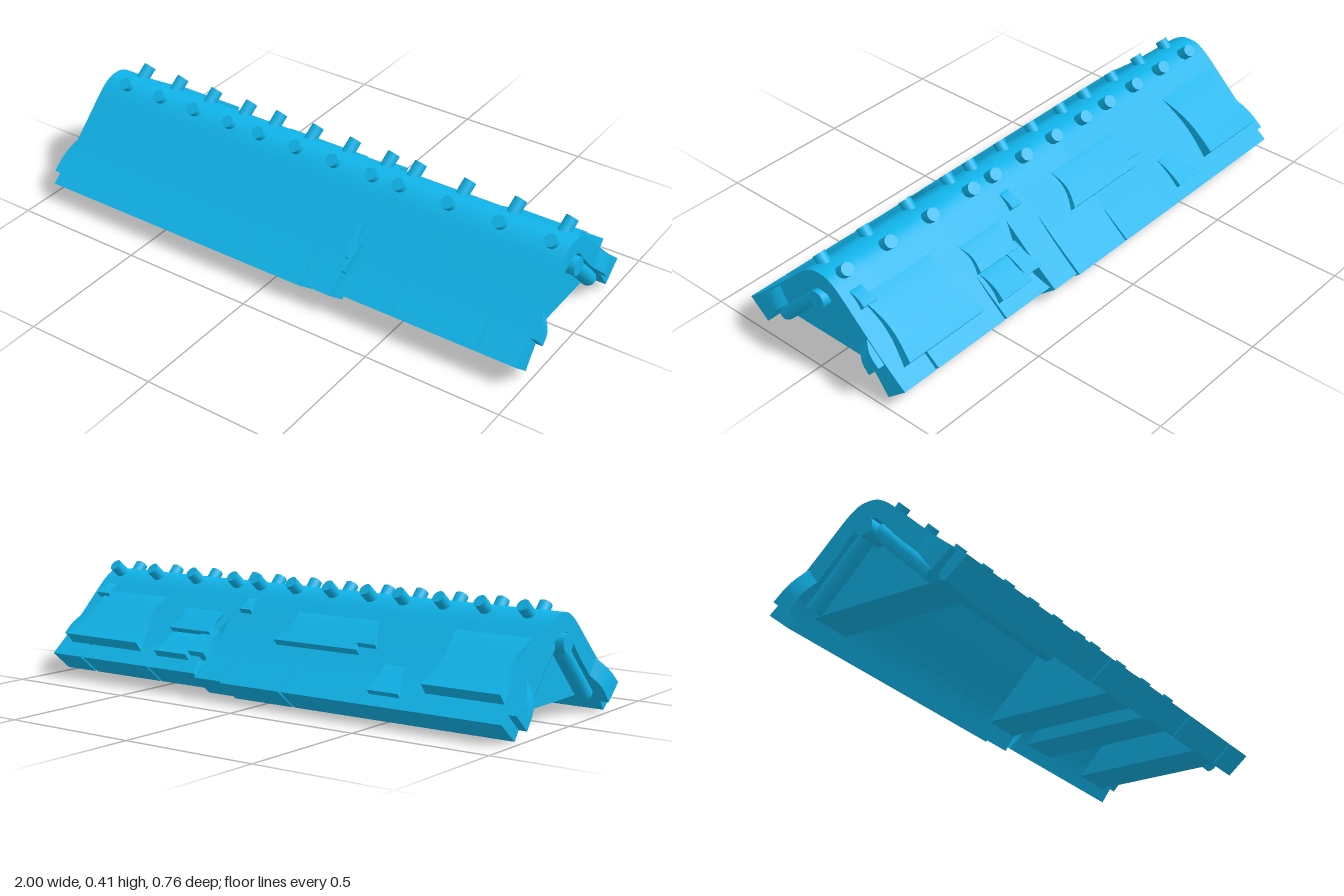
import * as THREE from 'three';
import { toCreasedNormals } from 'three/addons/utils/BufferGeometryUtils.js';

const material = new THREE.MeshStandardMaterial({ color: 0x10b4ea, side: THREE.DoubleSide });

// Half profile of the thatch, ridge to eave, as (z, y)
const curve = (pts) => new THREE.SplineCurve(pts.map(([z, y]) => new THREE.Vector2(z, y)));
const outer = curve([[0, 0.37], [0.03, 0.367], [0.06, 0.352], [0.1, 0.32], [0.2, 0.225], [0.28, 0.152], [0.38, 0.07]]);
const inner = curve([[0, 0.305], [0.03, 0.302], [0.05, 0.283], [0.12, 0.205], [0.22, 0.105], [0.297, 0.003]]);
const uAt = (z) => Math.min(1, Math.max(0, (z + 0.018) / 0.4));
const lerp = THREE.MathUtils.lerp;

// Slab lofted down one slope; rows hold left x, right x, outer and inner (z, y); side -1 is the back
function slab(rows, side) {
  const pos = [], idx = [];
  for (const { l, r, out, inn } of rows) {
    for (const [x, p] of [[l, out], [r, out], [r, inn], [l, inn]]) pos.push(x, p.y, p.x * side);
  }
  const quad = (a, b, c, d) => (side > 0 ? idx.push(a, b, c, a, c, d) : idx.push(a, c, b, a, d, c));
  for (let i = 0; i < rows.length - 1; i++) {
    for (let k = 0; k < 4; k++) {
      const n = (k + 1) % 4;
      quad(i * 4 + k, i * 4 + 4 + k, i * 4 + 4 + n, i * 4 + n);
    }
  }
  const e = rows.length * 4 - 4;
  quad(0, 1, 2, 3);
  quad(e + 3, e + 2, e + 1, e);
  const g = new THREE.BufferGeometry();
  g.setAttribute('position', new THREE.Float32BufferAttribute(pos, 3));
  g.setIndex(idx);
  return toCreasedNormals(g.toNonIndexed(), 0.6);
}

export function createModel() {
  const model = new THREE.Group();
  const add = (name, geometry) => {
    const m = new THREE.Mesh(geometry, material);
    m.name = name;
    model.add(m);
    return m;
  };
  const rod = (name, a, b, radius) => {
    const dir = b.clone().sub(a);
    const m = add(name, new THREE.CylinderGeometry(radius, radius, dir.length(), 20));
    m.position.copy(a).add(b).multiplyScalar(0.5);
    m.quaternion.setFromUnitVectors(new THREE.Vector3(0, 1, 0), dir.normalize());
  };
  const V = (x, y, z) => new THREE.Vector3(x, y, z);

  // Main thatch: strips parted by slits that open toward the eave [x, slit start, half width]
  const seams = [[-0.97, 1, 0], [-0.112, 0.72, 0.004], [0.15, 0.5, 0.005], [0.275, 0.42, 0.006],
    [0.502, 0.62, 0.005], [0.828, 0.5, 0.006], [0.975, 1, 0]];
  const slit = ([, start, w], u) => (u <= start ? 0 : w * Math.sqrt((u - start) / (1 - start)));
  for (const side of [1, -1]) {
    for (let s = 0; s < seams.length - 1; s++) {
      const a = seams[s], b = seams[s + 1], rows = [];
      const end = a[0] > 0.27 ? 0.95 : a[0] > 0.1 ? 0.985 : 1;
      for (let i = 0; i <= 24; i++) {
        const u = (i / 24) * end;
        const t = Math.max(0, (u - 0.42) / 0.53);
        const torn = s === 3 ? 0.03 * Math.sin(Math.PI * Math.min(1, t)) : 0;
        rows.push({ l: a[0] + slit(a, u) + torn, r: b[0] - slit(b, u), out: outer.getPointAt(u), inn: inner.getPointAt(u) });
      }
      add('thatchStrip', slab(rows, side));
    }

    // Flared under-layers peeking out at both gable ends
    for (const [end, z0, z1, tip, base] of [[-1, 0.13, 0.345, 1, 0.93], [1, 0.13, 0.275, 1, 0.94]]) {
      const rows = [];
      for (let i = 0; i <= 10; i++) {
        const t = i / 10, u = uAt(lerp(z0, z1, t));
        const x = end * lerp(base, tip, THREE.MathUtils.smoothstep(t, 0, 0.8));
        const out = outer.getPointAt(u).add(new THREE.Vector2(-0.004, -0.004));
        rows.push({ l: Math.min(x, end * 0.88), r: Math.max(x, end * 0.88), out, inn: inner.getPointAt(u) });
      }
      add('endThatch', slab(rows, side));
    }
  }

  // Overlapping tufts: [side, top left, top right, bottom left, bottom right, top z, bottom z, lift]
  const tufts = [
    [-1, -0.93, -0.64, -0.945, -0.655, 0.1, 0.318, 0.045],
    [-1, -0.53, -0.45, -0.575, -0.455, 0.24, 0.345, 0.02],
    [-1, -0.3, 0.0, -0.335, 0.015, 0.1, 0.222, 0.026],
    [-1, -0.34, -0.28, -0.39, -0.3, 0.1, 0.195, 0.02],
    [-1, 0.2, 0.24, 0.19, 0.24, 0.07, 0.127, 0.022],
    [-1, 0.3, 0.5, 0.31, 0.495, 0.13, 0.222, 0.022],
    [-1, 0.29, 0.36, 0.275, 0.35, 0.2, 0.3, 0.025],
    [-1, 0.35, 0.49, 0.34, 0.49, 0.22, 0.318, 0.03],
    [-1, 0.61, 0.92, 0.575, 0.925, 0.1, 0.31, 0.045],
    [-1, 0.89, 0.94, 0.88, 0.94, 0.07, 0.127, 0.025],
    [1, 0.25, 0.262, 0.262, 0.285, 0.15, 0.26, 0.012],
    [1, 0.292, 0.305, 0.27, 0.283, 0.16, 0.3, 0.012],
  ];
  for (const [side, tl, tr, bl, br, z0, z1, lift] of tufts) {
    const rows = [];
    for (let i = 0; i <= 8; i++) {
      const t = i / 8, p = outer.getPointAt(uAt(lerp(z0, z1, t)));
      const pinch = (tr - tl) * 0.07 * Math.sin(Math.PI * t);
      const h = lift * Math.pow(t, 0.8);
      rows.push({
        l: lerp(tl, bl, t) + pinch, r: lerp(tr, br, t) - pinch,
        out: p.clone().add(new THREE.Vector2(0.6 * h, 0.8 * h)),
        inn: p.clone().add(new THREE.Vector2(-0.012, -0.014)),
      });
    }
    add('thatchTuft', slab(rows, side));
  }

  // Ridge pole and end rafters
  rod('ridgePole', V(-0.99, 0.272, 0), V(0.995, 0.272, 0), 0.033);
  for (const x of [-0.93, 0.93]) {
    for (const s of [1, -1]) rod('rafter', V(x, 0.27, 0.025 * s), V(x, 0.062, 0.232 * s), 0.029);
  }

  // Triangular trusses under the roof
  const tri = new THREE.Shape([[-0.255, 0.057], [0.255, 0.057], [0.02, 0.295], [-0.02, 0.295]].map(([x, y]) => new THREE.Vector2(x, y)));
  for (const [x0, x1] of [[0.75, 0.92], [0.36, 0.52], [0.1, 0.26], [-0.9, -0.74]]) {
    const truss = add('truss', new THREE.ExtrudeGeometry(tri, { depth: x1 - x0, bevelEnabled: false }));
    truss.rotation.y = Math.PI / 2;
    truss.position.x = x0;
  }

  // Pegs along both sides of the ridge
  for (const x of [-0.87, -0.71, -0.55, -0.39, -0.255, -0.095, 0.065, 0.225, 0.335, 0.53, 0.725, 0.915]) {
    rod('frontPeg', V(x, 0.335, 0.018), V(x, 0.382, 0.064), 0.023);
    rod('backPeg', V(x - 0.006, 0.335, -0.016), V(x + 0.006, 0.394, -0.076), 0.023);
  }
  return model;
}
